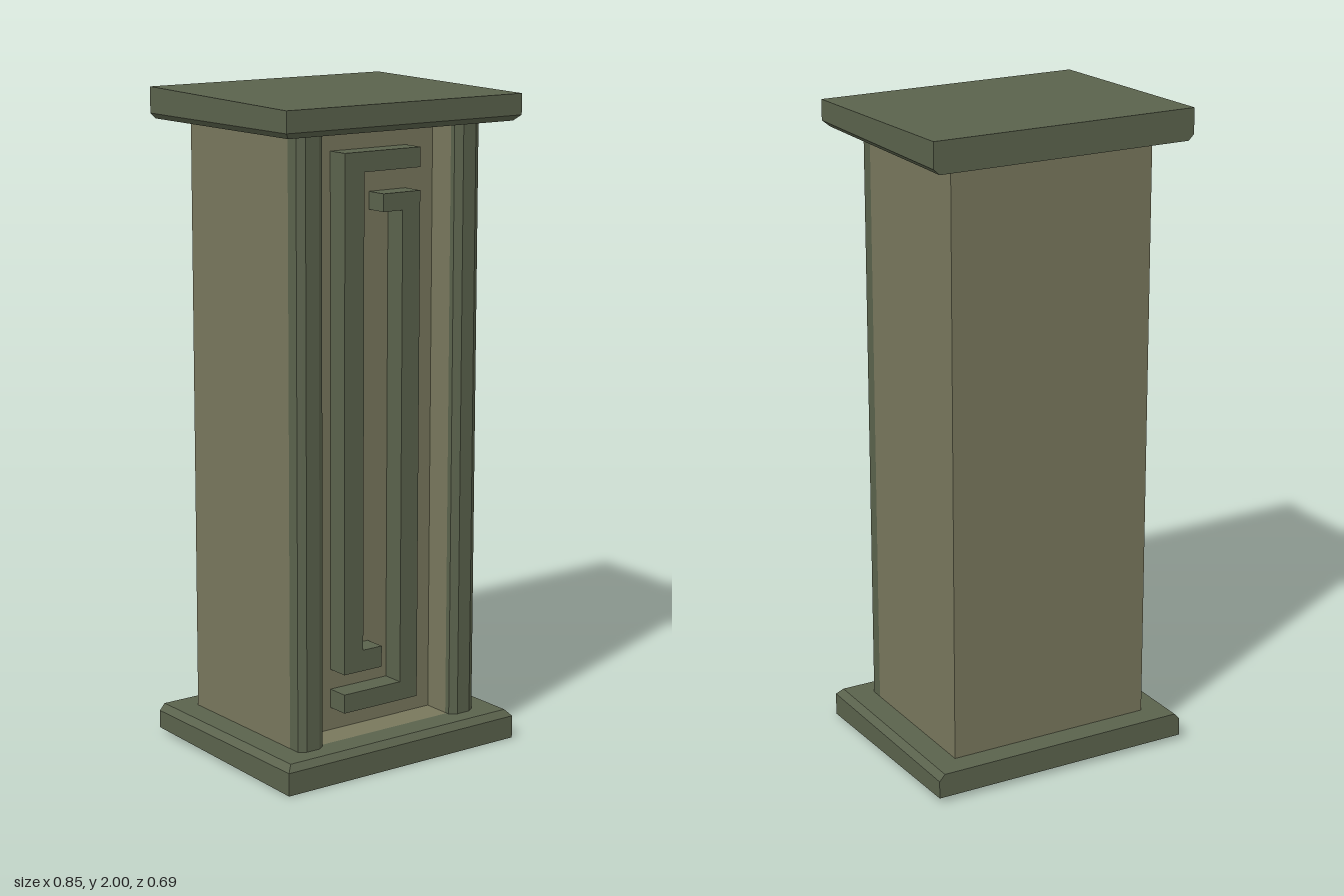
import * as THREE from 'three';

const green = new THREE.MeshStandardMaterial({ color: 0x5a624c, flatShading: true, side: THREE.DoubleSide });
const khaki = new THREE.MeshStandardMaterial({ color: 0x78775c, flatShading: true, side: THREE.DoubleSide });

// Flat-shaded skin through a stack of equal-length loops of [x, y, z] points.
function skin(name, loops, material, closed) {
  const pos = [];
  for (let k = 0; k < loops.length - 1; k++) {
    const a = loops[k], b = loops[k + 1], n = a.length;
    for (let i = 0; i < (closed ? n : n - 1); i++) {
      const j = (i + 1) % n;
      pos.push(...a[i], ...a[j], ...b[j], ...a[i], ...b[j], ...b[i]);
    }
  }
  const geometry = new THREE.BufferGeometry();
  geometry.setAttribute('position', new THREE.Float32BufferAttribute(pos, 3));
  geometry.computeVertexNormals();
  const mesh = new THREE.Mesh(geometry, material);
  mesh.name = name;
  return mesh;
}

// Rectangle in plan, counter-clockwise from above; front and back heights may differ.
const rect = (x, back, front, yFront, yBack = yFront) => [
  [x, yFront, front], [x, yBack, back], [-x, yBack, back], [-x, yFront, front],
];

const Y0 = 0.09, Y1 = 1.905;

// Vertical wall following a plan outline of [x, z] points.
const wall = (name, plan, material) =>
  skin(name, [Y0, Y1].map((y) => plan.map(([x, z]) => [x, y, z])), material, false);

function extruded(name, points, depth, z) {
  const shape = new THREE.Shape(points.map(([x, y]) => new THREE.Vector2(x, y)));
  const geometry = new THREE.ExtrudeGeometry(shape, { depth, bevelEnabled: false });
  const mesh = new THREE.Mesh(geometry, green);
  mesh.name = name;
  mesh.position.z = z;
  return mesh;
}

export function createModel() {
  const model = new THREE.Group();
  model.name = 'pillar';

  // Hollow base, open below, chamfered on the front and sides
  model.add(skin('base', [
    rect(0.423, -0.345, 0.345, 0, 0.015),
    rect(0.423, -0.345, 0.345, 0.07),
    rect(0.405, -0.345, 0.328, Y0),
    rect(0.315, -0.26, 0.25, Y0),
  ], green, true));

  // Cap with a slightly tilted top
  const centre = [0, 1.9925, 0];
  model.add(skin('cap', [
    rect(0.315, -0.26, 0.25, Y1),
    rect(0.405, -0.345, 0.328, Y1),
    rect(0.423, -0.345, 0.345, 1.922),
    rect(0.423, -0.345, 0.345, 1.985, 2),
    [centre, centre, centre, centre],
  ], green, true));

  // Shaft: plain sides and back, recessed front panel
  const panelZ = 0.157;
  model.add(wall('shaftWalls', [[0.33, 0.22], [0.33, -0.27], [-0.33, -0.27], [-0.33, 0.22]], khaki));
  model.add(wall('recessedPanel', [[-0.24, 0.243], [-0.24, panelZ], [0.24, panelZ], [0.24, 0.243]], khaki));

  // Chamfered corner pilasters
  const pilaster = [[-0.33, 0.22], [-0.33, 0.26], [-0.308, 0.275], [-0.262, 0.275], [-0.24, 0.26], [-0.24, 0.243]];
  model.add(wall('rightPilaster', pilaster, green));
  model.add(wall('leftPilaster', pilaster.map(([x, z]) => [-x, z]).reverse(), green));

  // Floor and ceiling of the recess
  for (const [name, y, from, to] of [['recessFloor', Y0, 0.25, panelZ], ['recessCeiling', Y1, panelZ, 0.25]]) {
    model.add(skin(name, [
      [[-0.24, y, from], [0.24, y, from]],
      [[-0.24, y, to], [0.24, y, to]],
    ], khaki, false));
  }

  // Two interlocking raised hooks on the panel
  model.add(extruded('upperHook', [
    [-0.135, 0.28], [0.005, 0.28], [0.005, 0.345], [-0.065, 0.345],
    [-0.065, 1.778], [0.14, 1.778], [0.14, 1.837], [-0.135, 1.837],
  ], 0.07, panelZ));
  model.add(extruded('lowerHook', [
    [-0.135, 0.16], [0.14, 0.16], [0.14, 1.71], [0.005, 1.71],
    [0.005, 1.657], [0.075, 1.657], [0.075, 0.218], [-0.135, 0.218],
  ], 0.07, panelZ));

  return model;
}
